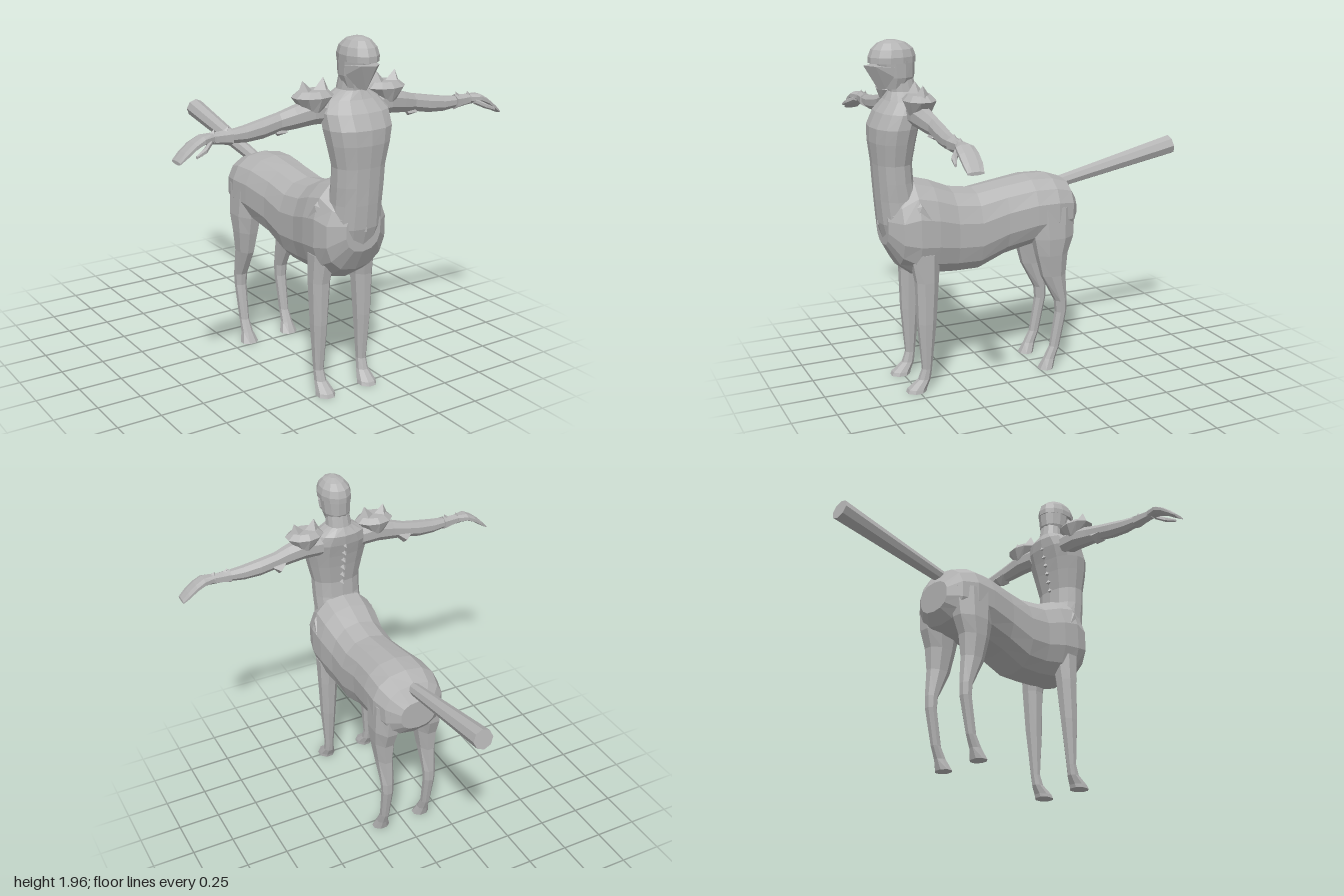
import * as THREE from 'three';
import { ConvexGeometry } from 'three/addons/geometries/ConvexGeometry.js';

const clay = new THREE.MeshStandardMaterial({ color: 0xb4b4b4 });
clay.name = 'clay grey';

// Faceted mesh
function part(name, geometry, parent) {
  const g = geometry.index ? geometry.toNonIndexed() : geometry;
  g.computeVertexNormals();
  const mesh = new THREE.Mesh(g, clay);
  mesh.name = name;
  parent.add(mesh);
  return mesh;
}

// Closed skin over rings [cx, cy, cz, a, b]; rings lie across the given axis.
// a, b are the radii along the two other axes; power < 1 makes rings boxier.
function loft(axis, rings, sides = 10, power = 1) {
  const [u, v] = { x: [2, 1], y: [0, 2], z: [0, 1] }[axis];
  const round = (t) => Math.sign(t) * Math.abs(t) ** power;
  const pos = [], idx = [];
  for (const r of rings) {
    for (let i = 0; i < sides; i++) {
      const t = ((i + 0.5) / sides) * Math.PI * 2;
      const p = r.slice(0, 3);
      p[u] += r[3] * round(Math.cos(t));
      p[v] += r[4] * round(Math.sin(t));
      pos.push(...p);
    }
  }
  const last = rings.length - 1;
  pos.push(...rings[0].slice(0, 3), ...rings[last].slice(0, 3));
  const c0 = rings.length * sides;
  for (let i = 0; i < sides; i++) {
    const j = (i + 1) % sides;
    for (let k = 0; k < last; k++) {
      const a = k * sides + i, b = k * sides + j;
      idx.push(a, b, a + sides, b, b + sides, a + sides);
    }
    idx.push(c0, j, i, c0 + 1, last * sides + i, last * sides + j);
  }
  // Turn the skin outward
  const P = (i) => new THREE.Vector3().fromArray(pos, i * 3);
  let volume = 0;
  for (let i = 0; i < idx.length; i += 3) volume += P(idx[i]).dot(P(idx[i + 1]).cross(P(idx[i + 2])));
  if (volume < 0) idx.reverse();
  const g = new THREE.BufferGeometry();
  g.setAttribute('position', new THREE.Float32BufferAttribute(pos, 3));
  g.setIndex(idx);
  return g;
}

const hull = (points) => new ConvexGeometry(points.map((p) => new THREE.Vector3(...p)));

// Four-sided spike from a base centre to a tip
function spike(name, base, tip, radius, parent) {
  const from = new THREE.Vector3(...base), dir = new THREE.Vector3(...tip).sub(from);
  const mesh = part(name, new THREE.ConeGeometry(radius, dir.length(), 4), parent);
  mesh.position.copy(from).addScaledVector(dir, 0.5);
  mesh.quaternion.setFromUnitVectors(new THREE.Vector3(0, 1, 0), dir.normalize());
}

export function createModel() {
  const model = new THREE.Group();
  model.name = 'armouredCentaur';

  // Horse barrel, rump to chest
  part('horseBody', loft('z', [
    [0, 0.94, -0.255, 0.11, 0.09],
    [0, 0.95, -0.2, 0.185, 0.165],
    [0, 0.955, -0.1, 0.212, 0.195],
    [0, 0.95, 0.03, 0.205, 0.205],
    [0, 0.92, 0.2, 0.188, 0.213],
    [0, 0.875, 0.36, 0.188, 0.235],
    [0, 0.885, 0.5, 0.188, 0.245],
    [0, 0.915, 0.62, 0.208, 0.265],
    [0, 0.93, 0.73, 0.212, 0.28],
    [0, 0.93, 0.82, 0.19, 0.21],
    [0, 0.96, 0.885, 0.11, 0.12],
  ], 14, 0.85), model);

  // Human torso and neck
  part('torso', loft('y', [
    [0, 0.86, 0.78, 0.12, 0.1],
    [0, 0.97, 0.79, 0.15, 0.12],
    [0, 1.1, 0.805, 0.145, 0.115],
    [0, 1.2, 0.82, 0.148, 0.105],
    [0, 1.3, 0.825, 0.15, 0.105],
    [0, 1.42, 0.82, 0.178, 0.122],
    [0, 1.5, 0.81, 0.195, 0.13],
    [0, 1.58, 0.78, 0.195, 0.122],
    [0, 1.64, 0.75, 0.15, 0.1],
    [0, 1.685, 0.75, 0.075, 0.075],
    [0, 1.78, 0.765, 0.065, 0.07],
  ], 14, 0.9), model);

  // Belt buckle fold
  part('buckleFold', hull([[-0.045, 0.955, 0.86], [0.045, 0.955, 0.86], [0, 0.955, 0.915],
    [0, 0.98, 0.915], [0, 0.98, 0.86]]), model);

  // Spine ridge
  for (let i = 0; i < 6; i++) {
    const y = 1.3 + i * 0.055, z = 0.722 - i * 0.011;
    spike('spineRidge', [0, y + 0.01, z + 0.02], [0, y - 0.01, z - 0.025], 0.03, model);
  }

  // Head, helmet dome and pointed visor
  part('head', loft('y', [
    [0, 1.7, 0.785, 0.06, 0.07],
    [0, 1.76, 0.775, 0.082, 0.092],
    [0, 1.85, 0.782, 0.09, 0.105],
  ], 12), model);
  part('helmet', loft('y', [
    [0, 1.838, 0.802, 0.094, 0.13],
    [0, 1.87, 0.802, 0.096, 0.13],
    [0, 1.91, 0.8, 0.085, 0.115],
    [0, 1.942, 0.803, 0.058, 0.078],
    [0, 1.957, 0.808, 0.022, 0.03],
  ], 12), model);
  part('visor', hull([[0, 1.828, 0.96], [0, 1.692, 0.88],
    ...[1, -1].flatMap((s) => [[0.093 * s, 1.82, 0.82], [0.055 * s, 1.825, 0.91],
      [0.085 * s, 1.77, 0.82], [0.03 * s, 1.7, 0.85]])]), model);

  // Tail pole
  const tail = part('tail', new THREE.CylinderGeometry(0.058, 0.036, 0.765, 8), model);
  tail.position.set(0, 1.16, -0.565);
  tail.rotation.x = -Math.atan2(0.745, 0.155);

  for (const s of [1, -1]) {
    const side = new THREE.Group();
    side.name = s > 0 ? 'leftSide' : 'rightSide';
    model.add(side);
    const m = (rows) => rows.map(([x, ...rest]) => [x * s, ...rest]);

    // Legs with flared hooves
    part('frontLeg', loft('y', m([
      [0.125, 0.8, 0.69, 0.075, 0.09],
      [0.138, 0.64, 0.685, 0.06, 0.068],
      [0.142, 0.4, 0.692, 0.047, 0.056],
      [0.142, 0.13, 0.697, 0.029, 0.029],
      [0.14, 0.07, 0.712, 0.033, 0.036],
      [0.138, 0.02, 0.755, 0.05, 0.056],
      [0.138, 0, 0.762, 0.054, 0.058],
    ]), 8), side);
    part('hindLeg', loft('y', m([
      [0.125, 0.98, -0.08, 0.085, 0.15],
      [0.137, 0.8, -0.085, 0.08, 0.13],
      [0.14, 0.7, -0.078, 0.068, 0.1],
      [0.14, 0.57, -0.09, 0.05, 0.077],
      [0.14, 0.41, -0.138, 0.04, 0.038],
      [0.14, 0.34, -0.14, 0.036, 0.034],
      [0.14, 0.13, -0.1, 0.028, 0.031],
      [0.14, 0.06, -0.068, 0.034, 0.036],
      [0.138, 0, -0.043, 0.054, 0.045],
    ]), 8), side);

    // Hip plate rising to a point
    part('hipPlate', hull(m([[0.15, 1.13, 0.73], [0.195, 1.08, 0.72], [0.205, 1.0, 0.67],
      [0.19, 0.95, 0.78], [0.12, 1.03, 0.87], [0.13, 0.9, 0.84], [0.1, 1.0, 0.7]])), side);

    // Arm
    part('arm', loft('x', m([
      [0.13, 1.58, 0.735, 0.06, 0.065],
      [0.24, 1.585, 0.735, 0.06, 0.068],
      [0.34, 1.567, 0.73, 0.048, 0.06],
      [0.42, 1.552, 0.722, 0.04, 0.05],
      [0.52, 1.533, 0.725, 0.042, 0.05],
      [0.62, 1.522, 0.73, 0.038, 0.043],
      [0.73, 1.522, 0.735, 0.028, 0.03],
      [0.82, 1.525, 0.735, 0.03, 0.028],
    ]), 8), side);
    part('elbowGuard', hull(m([[0.37, 1.54, 0.68], [0.45, 1.53, 0.68], [0.41, 1.475, 0.7],
      [0.41, 1.51, 0.655], [0.38, 1.5, 0.75], [0.44, 1.5, 0.75], [0.41, 1.56, 0.72]])), side);

    // Gauntlet cuff
    part('cuff', loft('x', m([
      [0.7, 1.52, 0.735, 0.042, 0.043],
      [0.74, 1.522, 0.735, 0.036, 0.035],
      [0.8, 1.525, 0.735, 0.03, 0.03],
    ]), 6), side);
    spike('cuffSpike', [0.73 * s, 1.54, 0.735], [0.71 * s, 1.575, 0.735], 0.02, side);
    spike('cuffSpike', [0.8 * s, 1.54, 0.735], [0.79 * s, 1.57, 0.735], 0.02, side);

    // Hand and thumb
    part('hand', loft('x', m([
      [0.8, 1.528, 0.735, 0.03, 0.026],
      [0.86, 1.528, 0.738, 0.05, 0.024],
      [0.91, 1.505, 0.738, 0.054, 0.02],
      [0.96, 1.468, 0.738, 0.053, 0.017],
      [0.998, 1.437, 0.74, 0.045, 0.009],
    ]), 8, 0.85), side);
    part('thumb', loft('x', m([
      [0.82, 1.515, 0.76, 0.016, 0.016],
      [0.87, 1.49, 0.798, 0.017, 0.016],
      [0.925, 1.468, 0.812, 0.008, 0.009],
    ]), 6), side);

    // Spiked shoulder armour
    part('pauldron', loft('y', m([
      [0.23, 1.59, 0.735, 0.05, 0.06],
      [0.225, 1.665, 0.735, 0.117, 0.088],
      [0.222, 1.695, 0.735, 0.08, 0.06],
    ]), 10), side);
    spike('pauldronSpike', [0.175 * s, 1.675, 0.735], [0.163 * s, 1.755, 0.735], 0.056, side);
    spike('pauldronSpike', [0.27 * s, 1.67, 0.735], [0.287 * s, 1.748, 0.735], 0.056, side);
  }
  return model;
}
